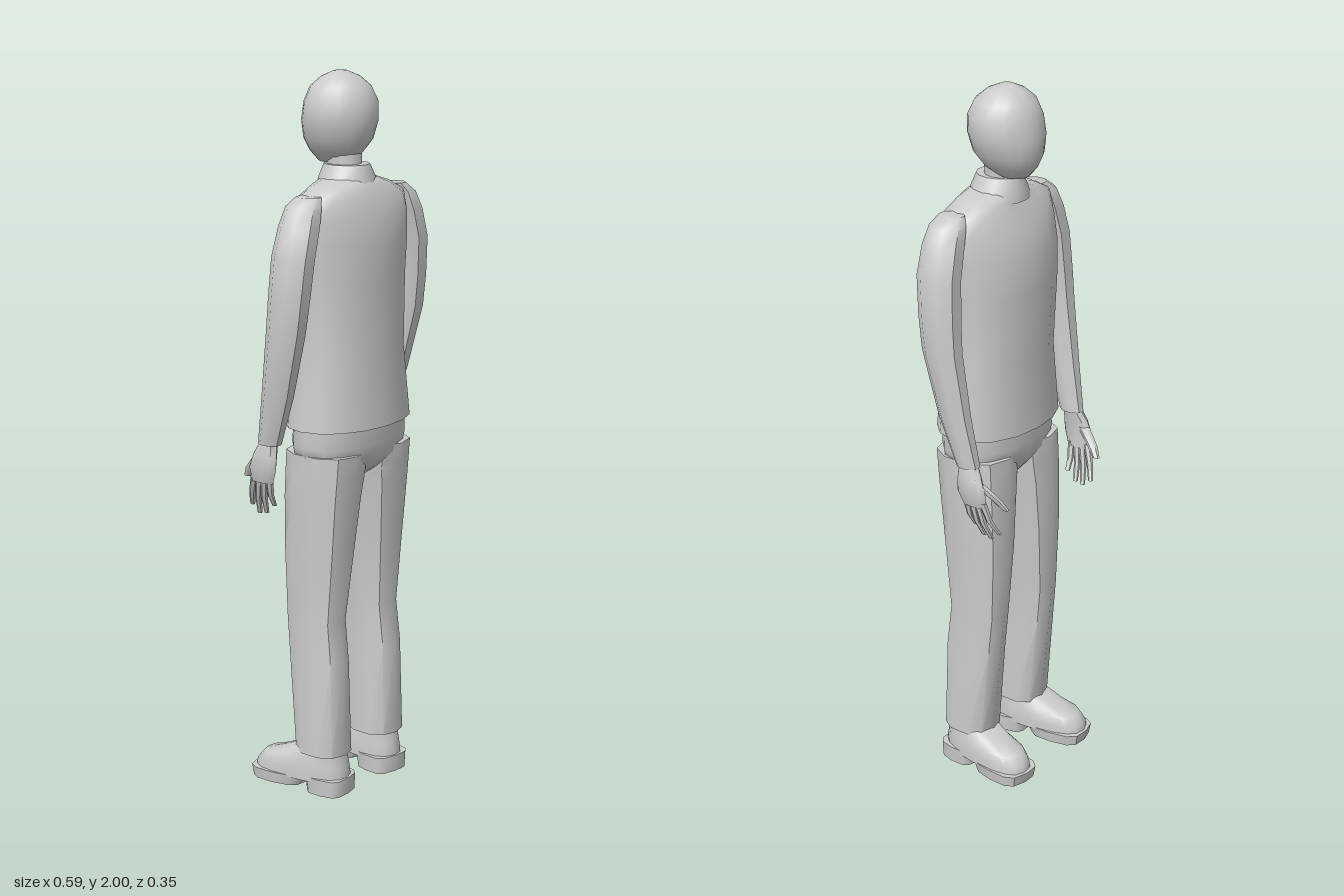
import * as THREE from 'three';
import { toCreasedNormals } from 'three/addons/utils/BufferGeometryUtils.js';

const material = new THREE.MeshStandardMaterial({ color: 0xcccccc, side: THREE.DoubleSide });
const MID = -0.01; // the body's centre line

// Skin over stacked oval sections, bottom to top. Section: [y, centreX, halfWidth, backZ, frontZ].
// power 2 is an ellipse, higher is boxier; turn shifts the corners by part of a step.
function loft(sections, sides, { power = 2, turn = 0, crease = 0.9 } = {}) {
  const pos = [], index = [];
  const soft = (v) => Math.sign(v) * Math.pow(Math.abs(v), 2 / power);
  for (const [y, cx, rx, zb, zf] of sections) {
    for (let j = 0; j < sides; j++) {
      const t = ((j + turn) / sides) * Math.PI * 2;
      pos.push(cx + rx * soft(Math.cos(t)), y, (zb + zf) / 2 + ((zb - zf) / 2) * soft(Math.sin(t)));
    }
  }
  const last = sections.length - 1;
  for (let i = 0; i < last; i++) {
    for (let j = 0; j < sides; j++) {
      const a = i * sides + j, b = i * sides + ((j + 1) % sides);
      index.push(a, a + sides, b, b, a + sides, b + sides);
    }
  }
  // end caps
  for (const i of [0, last]) {
    const [y, cx, , zb, zf] = sections[i];
    const c = pos.length / 3;
    pos.push(cx, y, (zb + zf) / 2);
    for (let j = 0; j < sides; j++) {
      const a = i * sides + j, b = i * sides + ((j + 1) % sides);
      if (i === 0) index.push(c, a, b); else index.push(c, b, a);
    }
  }
  const geo = new THREE.BufferGeometry();
  geo.setAttribute('position', new THREE.Float32BufferAttribute(pos, 3));
  geo.setIndex(index);
  return toCreasedNormals(geo, crease);
}

function add(parent, name, geometry) {
  const mesh = new THREE.Mesh(geometry, material);
  mesh.name = name;
  parent.add(mesh);
  return mesh;
}

function createHead(parent) {
  add(parent, 'head', loft([
    [1.757, MID, 0.035, 0.04, -0.055], [1.785, MID, 0.062, 0.078, -0.08],
    [1.82, MID, 0.086, 0.104, -0.094], [1.87, MID, 0.101, 0.116, -0.095],
    [1.92, MID, 0.102, 0.114, -0.084], [1.96, MID, 0.083, 0.095, -0.068],
    [1.985, MID, 0.055, 0.065, -0.038], [2.0, MID, 0.02, 0.03, -0.005],
  ], 20, { crease: 1.2 }));
  add(parent, 'neck', loft([
    [1.68, MID, 0.05, 0.09, -0.03], [1.76, MID, 0.045, 0.075, -0.025], [1.81, MID, 0.05, 0.075, -0.03],
  ], 12));
}

function createJacket(parent) {
  add(parent, 'jacket', loft([
    [1.05, MID + 0.003, 0.203, 0.175, -0.098], [1.25, MID + 0.003, 0.183, 0.16, -0.086],
    [1.45, MID + 0.003, 0.189, 0.161, -0.095], [1.55, MID + 0.003, 0.197, 0.162, -0.09],
    [1.62, MID + 0.003, 0.205, 0.153, -0.07], [1.67, MID, 0.2, 0.135, -0.045],
    [1.7, MID, 0.14, 0.12, -0.032], [1.72, MID, 0.075, 0.105, -0.025],
  ], 16, { power: 2.15, crease: 1.1 }));
  add(parent, 'collar', loft([
    [1.69, MID, 0.092, 0.118, -0.045], [1.72, MID, 0.078, 0.112, -0.04],
    [1.755, MID, 0.058, 0.1, -0.03],
  ], 14));
}

function createArm(parent, s) {
  const arm = new THREE.Group();
  arm.name = s > 0 ? 'leftArm' : 'rightArm';
  parent.add(arm);
  const at = (x) => s * x - 0.004;
  add(arm, 'sleeve', loft([
    [1.01, at(0.237), 0.027, -0.008, -0.08], [1.15, at(0.246), 0.037, 0.042, -0.055],
    [1.33, at(0.252), 0.046, 0.088, -0.03], [1.42, at(0.249), 0.049, 0.1, -0.024],
    [1.53, at(0.241), 0.051, 0.11, -0.018], [1.61, at(0.219), 0.051, 0.108, -0.012],
    [1.66, at(0.2), 0.044, 0.1, -0.005], [1.685, at(0.18), 0.03, 0.085, 0.012],
  ], 8, { turn: 0.5, crease: 0.85 }));
  add(arm, 'palm', loft([
    [0.9, at(0.241), 0.012, -0.03, -0.105], [0.94, at(0.247), 0.017, -0.014, -0.11],
    [0.98, at(0.244), 0.019, -0.014, -0.095], [1.02, at(0.237), 0.02, -0.02, -0.07],
  ], 8, { power: 2.4 }));
  // four fingers fan out and bend inwards
  const tips = [[0.83, -0.05], [0.805, -0.078], [0.8, -0.103], [0.82, -0.13]];
  tips.forEach(([tipY, tipZ], i) => {
    const z = -0.042 - i * 0.018, midZ = (z + tipZ) / 2;
    add(arm, 'finger', loft([
      [tipY, at(0.212), 0.006, tipZ + 0.007, tipZ - 0.007],
      [(tipY + 0.9) / 2, at(0.232), 0.009, midZ + 0.009, midZ - 0.009],
      [0.915, at(0.242), 0.011, z + 0.011, z - 0.011],
    ], 6));
  });
  add(arm, 'thumb', loft([
    [0.898, at(0.21), 0.008, -0.138, -0.16], [0.925, at(0.221), 0.011, -0.112, -0.144],
    [0.965, at(0.24), 0.014, -0.065, -0.102],
  ], 6));
}

function createTrousers(parent) {
  add(parent, 'hips', loft([
    [0.905, MID, 0.03, 0.1, -0.03], [0.93, MID, 0.1, 0.13, -0.05], [0.96, MID, 0.183, 0.15, -0.066],
    [1.0, MID, 0.19, 0.156, -0.07], [1.07, MID, 0.187, 0.16, -0.07],
  ], 16, { power: 2.3, crease: 1.1 }));
  for (const s of [1, -1]) {
    const at = (x) => MID + s * x;
    add(parent, s > 0 ? 'leftLeg' : 'rightLeg', loft([
      [0.115, at(0.115), 0.067, 0.125, -0.03], [0.38, at(0.115), 0.061, 0.12, -0.055],
      [0.5, at(0.113), 0.06, 0.107, -0.066], [0.7, at(0.106), 0.074, 0.127, -0.075],
      [0.85, at(0.101), 0.086, 0.141, -0.074], [0.92, at(0.096), 0.093, 0.148, -0.071],
      [0.98, at(0.095), 0.094, 0.153, -0.068],
    ], 10, { power: 2.4, turn: 0.5, crease: 0.75 }));
  }
}

function createShoe(parent, s) {
  const shoe = new THREE.Group();
  shoe.name = s > 0 ? 'leftShoe' : 'rightShoe';
  shoe.position.set(MID + s * 0.117, 0, 0.05);
  shoe.rotation.y = -s * 0.13; // toes point slightly outwards
  parent.add(shoe);
  add(shoe, 'upper', loft([
    [0.035, 0, 0.062, 0.078, -0.216], [0.06, 0, 0.062, 0.076, -0.212], [0.085, 0, 0.06, 0.072, -0.19],
    [0.1, 0, 0.056, 0.068, -0.14], [0.13, 0, 0.052, 0.062, -0.07],
  ], 16, { power: 2.7 }));
  add(shoe, 'frontSole', loft([
    [0.008, 0, 0.062, -0.055, -0.218], [0.04, 0, 0.066, -0.04, -0.224],
  ], 12, { power: 3.2, crease: 0.7 }));
  add(shoe, 'heel', loft([
    [0, 0, 0.06, 0.08, -0.035], [0.048, 0, 0.063, 0.082, -0.04],
  ], 12, { power: 3.5, crease: 0.7 }));
}

export function createModel() {
  const figure = new THREE.Group();
  figure.name = 'standingMan';
  createHead(figure);
  createJacket(figure);
  createTrousers(figure);
  for (const s of [1, -1]) {
    createArm(figure, s);
    createShoe(figure, s);
  }
  return figure;
}
